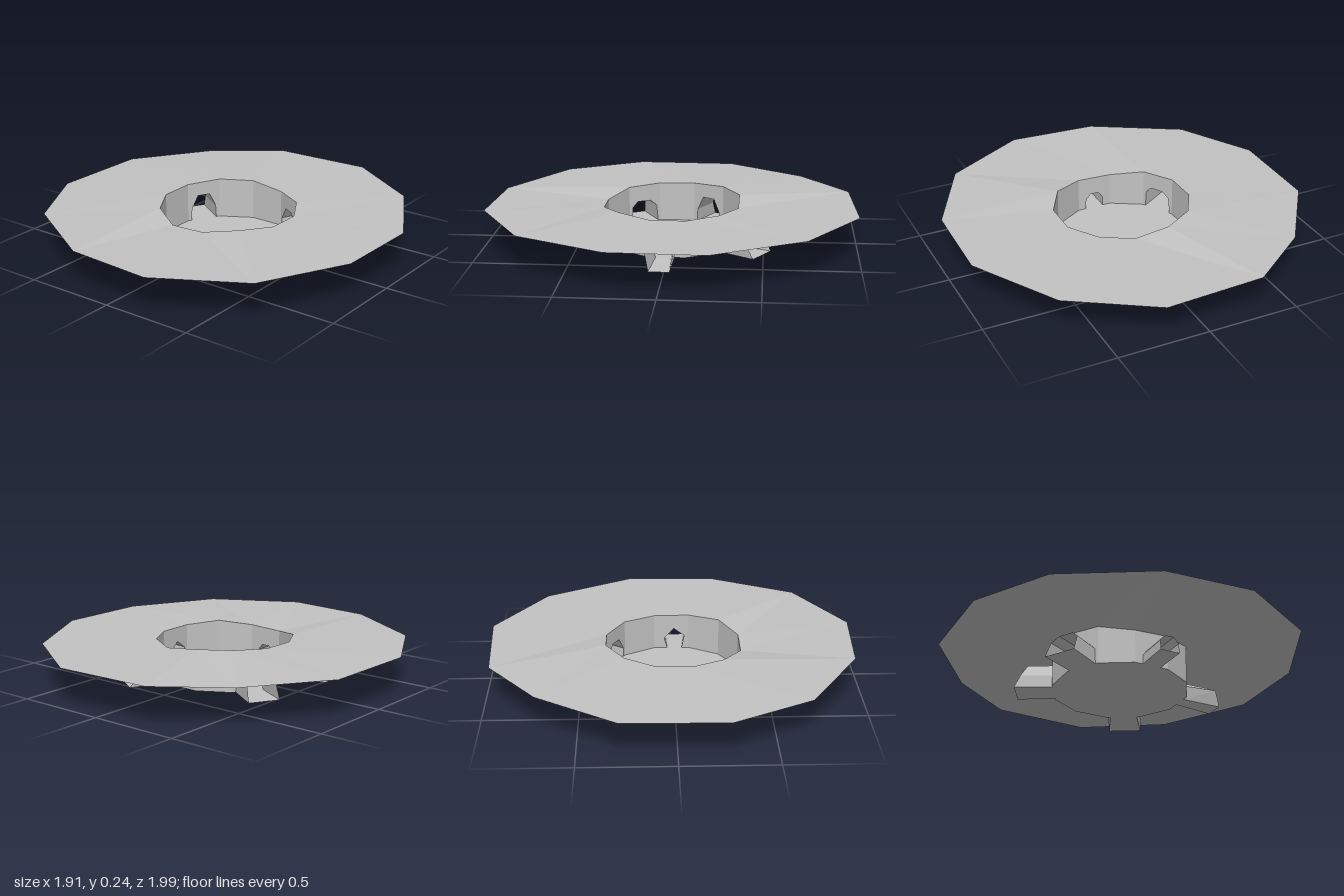
import * as THREE from 'three';

const SIDES = 12;
const FLOOR = 0.01;
const APOTHEM = 0.362;
const HALF = APOTHEM * Math.tan(Math.PI / SIDES);
const RADIUS = APOTHEM / Math.cos(Math.PI / SIDES);

// outer brim corners [x, z] and wall-top heights, both at 15, 45, 75... degrees
const BRIM = [[0.94, 0.26], [0.7, 0.73], [0.24, 0.99], [-0.25, 0.96], [-0.73, 0.68], [-0.96, 0.26],
  [-0.95, -0.29], [-0.66, -0.71], [-0.31, -0.97], [0.24, -1], [0.68, -0.72], [0.95, -0.24]];
const TOPS = [0.212, 0.222, 0.203, 0.196, 0.222, 0.228, 0.23, 0.237, 0.235, 0.212, 0.215, 0.21];

// tunnels: wall side they leave from, outer reach, lean of the mouth, doorway narrowing, arch profile [x, y]
const TUNNELS = [
  { side: 0, reach: 0.58, lean: 0.05, narrow: 0.75, name: 'leftTunnel',
    arch: [[-0.08, 0], [-0.1, 0.085], [-0.02, 0.13], [0.053, 0.07], [0.03, 0]] },
  { side: 3, reach: 0.56, lean: 0.01, narrow: 0.95, name: 'frontTunnel',
    arch: [[-0.055, 0.01], [-0.053, 0.065], [-0.025, 0.098], [0.025, 0.098], [0.053, 0.065], [0.055, 0.01]] },
  { side: 5, reach: 0.575, lean: 0.05, narrow: 0.9, name: 'rightFrontTunnel',
    arch: [[-0.09, 0.01], [-0.08, 0.1], [-0.035, 0.132], [0.05, 0.132], [0.085, 0.1], [0.09, 0.01]] },
  { side: 7, reach: 0.575, lean: 0.06, narrow: 0.9, name: 'rightBackTunnel',
    arch: [[-0.085, 0.01], [-0.08, 0.08], [-0.04, 0.155], [0.04, 0.155], [0.08, 0.08], [0.085, 0.01]] },
  { side: 10, reach: 0.575, lean: 0.07, narrow: 0.85, name: 'leftBackTunnel',
    arch: [[-0.09, 0.01], [-0.095, 0.06], [-0.04, 0.13], [0.04, 0.13], [0.095, 0.06], [0.09, 0.01]] },
];

// faceted strip between two matching rows of points
function strip(a, b, closed) {
  const pos = [];
  const n = closed ? a.length : a.length - 1;
  for (let i = 0; i < n; i++) {
    const j = (i + 1) % a.length;
    pos.push(...a[i], ...b[i], ...b[j], ...a[i], ...b[j], ...a[j]);
  }
  const geo = new THREE.BufferGeometry();
  geo.setAttribute('position', new THREE.Float32BufferAttribute(pos, 3));
  geo.computeVertexNormals();
  return geo;
}

export function createModel() {
  const group = new THREE.Group();
  const grey = new THREE.MeshStandardMaterial({ color: 0xc2c2c2, side: THREE.DoubleSide, flatShading: true });
  const add = (parent, geo, name) => {
    const mesh = new THREE.Mesh(geo, grey);
    mesh.name = name;
    parent.add(mesh);
    return mesh;
  };

  // wide, slightly uneven brim
  const inner = TOPS.map((y, k) => {
    const a = ((k + 0.5) * Math.PI * 2) / SIDES;
    return [RADIUS * Math.cos(a), y, RADIUS * Math.sin(a)];
  });
  const outer = BRIM.map(([x, z]) => [x, 0.21, z]);
  add(group, strip(outer, inner, true), 'brim');

  // floor of the ring
  const floor = add(group, new THREE.CircleGeometry(RADIUS, SIDES, Math.PI / SIDES), 'floor');
  floor.rotation.x = -Math.PI / 2;
  floor.position.y = FLOOR;

  // wall panels, with a doorway wherever a tunnel leaves
  for (let k = 0; k < SIDES; k++) {
    const side = new THREE.Group();
    side.name = 'wallSide';
    side.rotation.y = Math.PI / 2 - (k * Math.PI * 2) / SIDES;
    group.add(side);

    const tunnel = TUNNELS.find((t) => t.side === k);
    const door = tunnel ? tunnel.arch.map(([x, y]) => [x * tunnel.narrow, Math.max(y, FLOOR)]) : [];
    const outline = [[-HALF, FLOOR], ...door, [HALF, FLOOR],
      [HALF, TOPS[(k + SIDES - 1) % SIDES]], [-HALF, TOPS[k]]];
    const shape = new THREE.Shape(outline.map(([x, y]) => new THREE.Vector2(x, y)));
    add(side, new THREE.ShapeGeometry(shape), 'wallPanel').position.z = APOTHEM;
    if (!tunnel) continue;

    // tunnel shell with a leaning mouth, closed underneath
    const near = door.map(([x, y]) => [x, y, APOTHEM]);
    const far = tunnel.arch.map(([x, y]) => [x, y, tunnel.reach - (tunnel.lean * y) / 0.13]);
    add(side, strip(near, far, true), tunnel.name);
  }
  return group;
}
